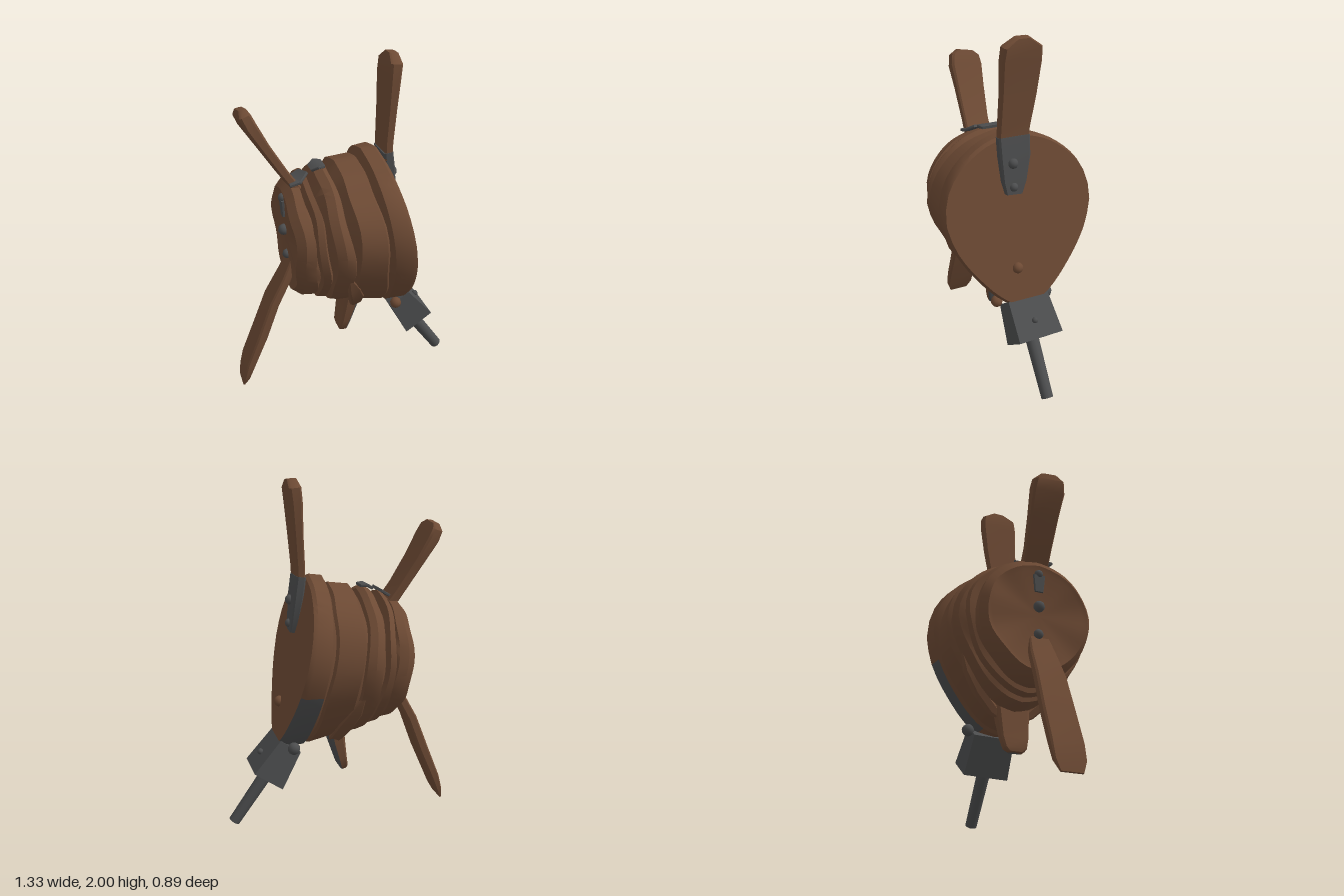
import * as THREE from 'three';
import { toCreasedNormals } from 'three/addons/utils/BufferGeometryUtils.js';

const V = (x, y, z) => new THREE.Vector3(x, y, z);

// Skin a list of equal-length loops, cap both ends; isMetal(i, j) picks the material per quad
function loft(loops, isMetal = () => false, crease = 0.6) {
  const parts = [[], []], n = loops[0].length;
  const mid = (l) => l.reduce((a, p) => a.add(p), V(0, 0, 0)).divideScalar(n);
  for (let i = 0; i < loops.length - 1; i++) {
    for (let j = 0; j < n; j++) {
      const k = (j + 1) % n, a = loops[i], b = loops[i + 1];
      parts[isMetal(i, j) ? 1 : 0].push([a[j], a[k], b[k]], [a[j], b[k], b[j]]);
    }
  }
  const last = loops.length - 1, c0 = mid(loops[0]), c1 = mid(loops[last]);
  for (let j = 0; j < n; j++) {
    const k = (j + 1) % n;
    parts[isMetal(-1, j) ? 1 : 0].push([c0, loops[0][k], loops[0][j]]);
    parts[isMetal(last, j) ? 1 : 0].push([c1, loops[last][j], loops[last][k]]);
  }
  // turn every face outward
  let volume = 0;
  for (const [a, b, c] of parts.flat()) volume += a.dot(b.clone().cross(c));
  const pos = [], geo = new THREE.BufferGeometry();
  parts.forEach((tris, m) => {
    geo.addGroup(pos.length / 3, tris.length * 3, m);
    for (const [a, b, c] of tris) {
      for (const p of volume < 0 ? [a, c, b] : [a, b, c]) pos.push(p.x, p.y, p.z);
    }
  });
  geo.setAttribute('position', new THREE.Float32BufferAttribute(pos, 3));
  return toCreasedNormals(geo, crease);
}

// Flat bar along a path; rows are [x, y, z, half width, half thickness]
function bar(rows, widthDir = V(0, 0, 1), chamfer = 0.35, isMetal) {
  const pts = rows.map((r) => V(r[0], r[1], r[2]));
  const loops = rows.map((r, i) => {
    const t = pts[Math.min(i + 1, pts.length - 1)].clone().sub(pts[Math.max(i - 1, 0)]).normalize();
    const u = widthDir.clone().addScaledVector(t, -widthDir.dot(t)).normalize();
    const v = t.clone().cross(u);
    const w = r[3], h = r[4], c = chamfer * h;
    const outline = chamfer
      ? [[w, h - c], [w - c, h], [c - w, h], [-w, h - c], [-w, c - h], [c - w, -h], [w - c, -h], [w, c - h]]
      : [[w, h], [-w, h], [-w, -h], [w, -h]];
    return outline.map(([a, b]) => pts[i].clone().addScaledVector(u, a).addScaledVector(v, b));
  });
  return loft(loops, isMetal, 0.7);
}

// Half teardrop outline: [distance down, share of half width]
const TEARDROP = new THREE.CatmullRomCurve3([
  [0, 0], [0.06, 0.45], [0.18, 0.8], [0.28, 0.94], [0.42, 1], [0.58, 0.91],
  [0.69, 0.78], [0.8, 0.6], [0.9, 0.4], [0.97, 0.2], [1, 0],
].map(([s, f]) => V(s, f, 0)));

// Bellows loops: [top x, top y, bottom x, bottom y, half width]
const FOLDS = [
  [-0.36, 1.25, -0.335, 0.69, 0.27],
  [-0.37, 1.28, -0.345, 0.66, 0.3],
  [-0.33, 1.33, -0.29, 0.615, 0.335],
  [-0.285, 1.33, -0.22, 0.605, 0.335],
  [-0.275, 1.3, -0.205, 0.625, 0.315],
  [-0.262, 1.36, -0.2, 0.585, 0.36],
  [-0.235, 1.37, -0.15, 0.575, 0.37],
  [-0.215, 1.31, -0.135, 0.605, 0.335],
  [-0.185, 1.38, -0.13, 0.555, 0.385],
  [-0.14, 1.405, -0.08, 0.54, 0.405],
  [-0.11, 1.385, -0.01, 0.535, 0.395],
  [-0.1, 1.355, 0, 0.55, 0.375],
  [-0.06, 1.415, 0.01, 0.53, 0.42],
  [0.06, 1.43, 0.2, 0.485, 0.415],
  [0.075, 1.41, 0.215, 0.495, 0.4],
  [0.095, 1.47, 0.235, 0.475, 0.435],
  [0.17, 1.48, 0.35, 0.475, 0.447],
  [0.19, 1.465, 0.385, 0.5, 0.44],
];

function bellowsLoop([tx, ty, bx, by, w], i) {
  const half = 24, loop = [], pear = 0.4 + (0.6 * i) / (FOLDS.length - 1);
  for (let j = 0; j < half * 2; j++) {
    const u = j <= half ? j / half : 2 - j / half;
    const side = j <= half ? 1 : -1;
    const p = TEARDROP.getPointAt(u);
    const s = THREE.MathUtils.lerp(0.5 - 0.5 * Math.cos(u * Math.PI), p.x, pear);
    const f = THREE.MathUtils.lerp(Math.sin(u * Math.PI), p.y, pear);
    // slight wobble of the worn leather, none on the front board
    const wob = i < 15 ? 0.008 * Math.sin(j * 0.8 + Math.floor(i / 4) * 2) * f : 0;
    loop.push(V(tx + (bx - tx) * s + wob, ty + (by - ty) * s, side * Math.max(f, 0) * (w + wob * 0.7)));
  }
  return loop;
}

export function createModel() {
  const wood = new THREE.MeshStandardMaterial({ color: 0x6d4a34 });
  wood.name = 'brown wood and leather';
  const iron = new THREE.MeshStandardMaterial({ color: 0x4c4d4e });
  iron.name = 'dark iron';
  const group = new THREE.Group();
  const add = (name, geo, mat = [wood, iron]) => {
    const mesh = new THREE.Mesh(geo, mat);
    mesh.name = name;
    group.add(mesh);
    return mesh;
  };

  // Folded body, with an iron strip low on the rim's far side
  add('bellowsBody', loft(FOLDS.map(bellowsLoop), (i, j) => i >= 15 && i < 17 && j > 25 && j < 34));

  // Front handle and its iron bracket
  add('frontHandle', bar([
    [0.222, 1.42, 0.03, 0.088, 0.022], [0.225, 1.52, 0.025, 0.09, 0.024], [0.24, 1.7, 0.01, 0.102, 0.026],
    [0.252, 1.88, 0.002, 0.113, 0.032], [0.26, 1.955, 0, 0.108, 0.034], [0.265, 2, 0, 0.04, 0.026],
  ]));
  add('frontBracket', bar([
    [0.262, 1.15, 0.04, 0.048, 0.018], [0.254, 1.22, 0.035, 0.07, 0.022],
    [0.237, 1.36, 0.027, 0.09, 0.028], [0.222, 1.47, 0.027, 0.092, 0.027],
  ]), iron);

  // Upper and lower back handles
  add('upperBackHandle', bar([
    [-0.29, 1.29, 0, 0.08, 0.025], [-0.36, 1.39, -0.005, 0.08, 0.024], [-0.46, 1.55, -0.015, 0.09, 0.027],
    [-0.53, 1.67, -0.02, 0.1, 0.034], [-0.555, 1.725, -0.025, 0.09, 0.032], [-0.56, 1.755, -0.03, 0.05, 0.02],
  ], V(0.12, 0, 1)));
  add('lowerBackHandle', bar([
    [-0.32, 0.85, 0.01, 0.06, 0.022], [-0.37, 0.74, 0.01, 0.075, 0.025], [-0.45, 0.59, 0.01, 0.085, 0.027],
    [-0.53, 0.38, 0.01, 0.09, 0.028], [-0.61, 0.19, 0.01, 0.09, 0.024], [-0.64, 0.1, 0.01, 0.085, 0.016],
    [-0.66, 0.04, 0.01, 0.06, 0.005],
  ]));

  // Iron clips over the top folds
  add('rearClip', bar([
    [-0.335, 1.335, 0.03, 0.07, 0.008], [-0.29, 1.345, 0.03, 0.075, 0.008], [-0.24, 1.378, 0.01, 0.05, 0.008],
  ]), iron);
  add('foldClip', bar([
    [-0.2, 1.385, 0, 0.04, 0.008], [-0.165, 1.408, 0, 0.065, 0.008], [-0.125, 1.405, 0, 0.05, 0.008],
  ]), iron);
  add('backPlate', bar([[-0.366, 1.22, 0, 0.035, 0.008], [-0.36, 1.12, 0, 0.025, 0.008]]), iron);

  // Tongue below the body, iron on the side facing the nozzle
  add('tongue', bar([
    [0.03, 0.58, 0, 0.1, 0.045], [0.015, 0.49, 0, 0.092, 0.04], [-0.01, 0.38, 0, 0.08, 0.028],
    [-0.025, 0.32, 0, 0.065, 0.024], [-0.03, 0.3, 0, 0.04, 0.015],
  ], V(0, 0, 1), 0.35, (i, j) => j >= 4 && j <= 6));

  // Pointed leather flaps on both flanks
  for (const s of [1, -1]) {
    add(s > 0 ? 'leftFlap' : 'rightFlap', bar([
      [-0.065, 0.83, s * 0.325, 0.008, 0.01], [-0.03, 0.74, s * 0.285, 0.035, 0.022],
      [0.01, 0.64, s * 0.205, 0.042, 0.028], [0.035, 0.55, s * 0.11, 0.035, 0.028], [0.035, 0.51, s * 0.05, 0.03, 0.02],
    ], V(1, 0.4, 0)));
  }

  // Nozzle block and spout
  add('nozzleBlock', bar([[0.315, 0.505, -0.005, 0.125, 0.07], [0.45, 0.31, -0.012, 0.136, 0.097]], V(0, 0, 1), 0), iron);
  const from = V(0.41, 0.34, 0), to = V(0.635, 0.025, 0);
  const spout = add('spout', new THREE.CylinderGeometry(0.034, 0.04, from.distanceTo(to), 12), iron);
  spout.position.copy(from).lerp(to, 0.5);
  spout.quaternion.setFromUnitVectors(V(0, 1, 0), to.clone().sub(from).normalize());

  // Studs: [name, x, y, z, radius, material]
  for (const [name, x, y, z, r, mat] of [
    ['upperBracketStud', 0.268, 1.33, 0.047, 0.029, iron],
    ['lowerBracketStud', 0.275, 1.195, 0.045, 0.025, iron],
    ['boardStud', 0.34, 0.73, 0.048, 0.032, wood],
    ['nozzleStud', 0.468, 0.447, 0, 0.018, iron],
    ['leftRimStud', 0.28, 0.505, 0.15, 0.034, wood],
    ['rightRimStud', 0.3, 0.505, -0.155, 0.036, iron],
    ['backStudTop', -0.36, 1.23, 0, 0.026, iron],
    ['backStudMiddle', -0.36, 1.03, 0, 0.032, iron],
    ['backStudBottom', -0.345, 0.87, 0, 0.028, iron],
  ]) {
    add(name, new THREE.SphereGeometry(r, 10, 8), mat).position.set(x, y, z);
  }
  return group;
}
